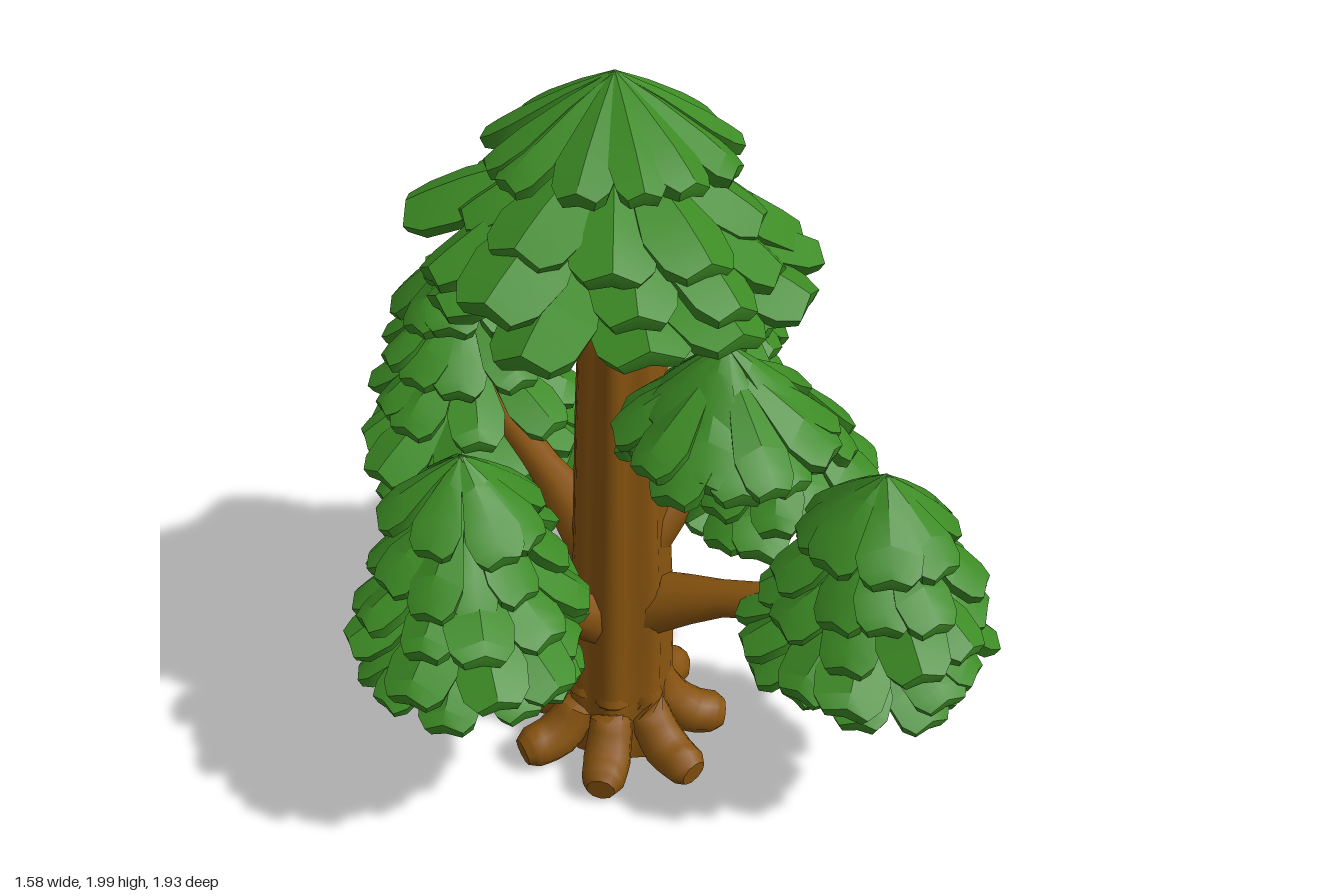
import * as THREE from 'three';
import { mergeGeometries, toCreasedNormals } from 'three/addons/utils/BufferGeometryUtils.js';

const needle = new THREE.MeshStandardMaterial({ color: 0x3c8a24 });
needle.name = 'needle green';
const bark = new THREE.MeshStandardMaterial({ color: 0x87530f });
bark.name = 'bark brown';

const V = (x, y, z) => new THREE.Vector3(x, y, z);

// Small seeded generator for natural variation
let seed = 7;
function rand(a, b) {
  seed = (seed * 16807) % 2147483647;
  return a + (b - a) * (seed / 2147483647);
}

// Closed skin over a list of equal-length rings, capped at both ends
function loft(rings, crease = 0.7) {
  const pos = [];
  const tri = (...p) => p.forEach((v) => pos.push(v.x, v.y, v.z));
  const k = rings[0].length;
  const middle = (r) => r.reduce((s, p) => s.add(p), V(0, 0, 0)).divideScalar(k);
  const last = rings[rings.length - 1];
  const start = middle(rings[0]), end = middle(last);
  for (let j = 0; j < k; j++) {
    const n = (j + 1) % k;
    for (let i = 0; i + 1 < rings.length; i++) {
      tri(rings[i][j], rings[i][n], rings[i + 1][j]);
      tri(rings[i][n], rings[i + 1][n], rings[i + 1][j]);
    }
    tri(start, rings[0][n], rings[0][j]);
    tri(end, last[j], last[n]);
  }
  const g = new THREE.BufferGeometry();
  g.setAttribute('position', new THREE.Float32BufferAttribute(pos, 3));
  return toCreasedNormals(g, crease);
}

// Round limb along a curve, with a radius given at each control point
function limb(points, radii, sides = 10) {
  const curve = new THREE.CatmullRomCurve3(points);
  const steps = (points.length - 1) * 3;
  const rings = [];
  for (let i = 0; i <= steps; i++) {
    const t = i / steps, f = t * (radii.length - 1), a = Math.min(Math.floor(f), radii.length - 2);
    const r = THREE.MathUtils.lerp(radii[a], radii[a + 1], f - a);
    const dir = curve.getTangent(t), c = curve.getPoint(t);
    const ref = Math.abs(dir.y) > 0.9 ? V(1, 0, 0) : V(0, 1, 0);
    const n = ref.sub(dir.clone().multiplyScalar(ref.dot(dir))).normalize();
    const b = dir.clone().cross(n);
    rings.push(Array.from({ length: sides }, (_, j) => {
      const q = (j / sides) * Math.PI * 2;
      return c.clone().addScaledVector(n, r * Math.cos(q)).addScaledVector(b, r * Math.sin(q));
    }));
  }
  return loft(rings, 0.9);
}

// One drooping, ridged leaf with a blunt tip, pointing along +x
function leaf(length, drop, width, thick) {
  const stations = [[0, 0.08], [0.35, 0.5], [0.72, 1], [0.9, 0.9], [1, 0.6]];
  return loft(stations.map(([u, f]) => {
    const w = width * f, x = u * length;
    const y = -drop * (0.8 * u + 0.2 * u * u);
    const ridge = w * 0.28, t = thick * (u === 1 ? 0.7 : 1);
    return [V(x, y + ridge * 0.4, 0), V(x, y - ridge, w), V(x - 0.01, y - ridge - t, w * 0.8),
      V(x - 0.01, y - ridge * 0.4 - t, 0), V(x - 0.01, y - ridge - t, -w * 0.8), V(x, y - ridge, -w)];
  }), 0.6);
}

// A skirt of leaves hanging from a point
function tier(radius, drop, count, wobble = 0.16) {
  const turn = rand(0, 6.28);
  const leaves = [];
  for (let i = 0; i < count; i++) {
    const len = radius * rand(1 - wobble, 1);
    const g = leaf(len, drop * rand(0.82, 1), radius * 0.78 * Math.tan(Math.PI / count) * rand(0.9, 1.15), 0.035);
    g.rotateX(rand(-0.15, 0.15));
    g.rotateY(turn + ((i + rand(-0.15, 0.15)) / count) * Math.PI * 2);
    leaves.push(g);
  }
  return mergeGeometries(leaves);
}

function add(parent, name, geometry, material, x = 0, y = 0, z = 0) {
  const m = new THREE.Mesh(geometry, material);
  m.name = name;
  m.position.set(x, y, z);
  parent.add(m);
  return m;
}

// Side bough: stump, connecting branch and stacked leaf skirts
function bough(root, name, { x, z, top, low, r, rows, stump, from, to }) {
  const g = new THREE.Group();
  g.name = name;
  root.add(g);
  const high = top - 0.15;
  add(g, 'stump', new THREE.CylinderGeometry(0.045, 0.06, high - stump, 12), bark, x, (high + stump) / 2, z);
  const s = 0.05 / Math.hypot(x, z);
  add(g, 'branch', limb(
    [V(0.02 + x * s, from - 0.06, z * s), V(x * 0.45, from * 0.6 + to * 0.4, z * 0.45), V(x, to, z)],
    [0.1, 0.05, 0.045]), bark);
  for (let i = 0; i < rows; i++) {
    const f = rows > 1 ? i / (rows - 1) : 0;
    const size = f < 0.7 ? 0.62 + 0.38 * (f / 0.7) : 1 - 0.14 * ((f - 0.7) / 0.3);
    const drop = i === 0 ? 0.18 : 0.2;
    const edge = THREE.MathUtils.lerp(top - 0.2, low + 0.05, f);
    const y = i === 0 ? top : edge + drop;
    const m = add(g, 'leafTier', tier(r * size, drop, i === 0 ? 8 : 10), needle, x, y, z);
    m.rotation.set(rand(-0.06, 0.06), 0, rand(-0.06, 0.06));
  }
}

export function createModel() {
  const root = new THREE.Group();
  root.name = 'tree';

  // Fluted trunk
  const profile = [[0.01, 0.14], [0.1, 0.155], [0.2, 0.14], [0.45, 0.14], [0.75, 0.125], [1.1, 0.115], [1.45, 0.1], [1.75, 0.06]];
  add(root, 'trunk', loft(profile.map(([y, r]) =>
    Array.from({ length: 42 }, (_, j) => {
      const a = (j / 42) * Math.PI * 2;
      const q = r * (1 + 0.07 * Math.cos(7 * a));
      return V(0.02 + q * Math.sin(a), y, 0.01 + q * Math.cos(a));
    })), 0.9), bark);

  // Spreading roots
  for (let i = 0; i < 7; i++) {
    const a = (i / 7) * Math.PI * 2, s = Math.sin(a), c = Math.cos(a);
    const reach = [0.31, 0.3, 0.31, 0.29, 0.29, 0.31, 0.3][i];
    const p = (d, y) => V(0.02 + s * d, y, 0.01 + c * d);
    add(root, 'root', limb([p(0.09, 0.32), p(0.125, 0.16), p(0.2, 0.075), p(reach - 0.03, 0.06), p(reach, 0.055)],
      [0.03, 0.06, 0.067, 0.06, 0.04]), bark);
  }

  // Crown skirts from the tip down
  const crown = new THREE.Group();
  crown.name = 'crown';
  root.add(crown);
  [[1.99, 0.31, 0.2, 12], [1.86, 0.4, 0.2, 10], [1.83, 0.49, 0.25, 11], [1.69, 0.52, 0.2, 11]].forEach(([y, r, drop, n], i) => {
    const m = add(crown, 'crownTier', tier(r, drop, n, i ? 0.15 : 0.06), needle, 0.01, y, 0);
    if (i) m.rotation.set(rand(-0.06, 0.06), 0, rand(-0.06, 0.06));
  });

  // Side boughs
  bough(root, 'rightBough', { x: -0.47, z: 0, top: 1.17, low: 0.49, r: 0.34, rows: 5, stump: 0.42, from: 0.52, to: 0.66 });
  bough(root, 'frontBough', { x: 0.3, z: 0.65, top: 1.1, low: 0.46, r: 0.355, rows: 5, stump: 0.38, from: 0.54, to: 0.68 });
  bough(root, 'lowLeftBough', { x: 0.45, z: -0.32, top: 0.94, low: 0.45, r: 0.35, rows: 4, stump: 0.38, from: 0.5, to: 0.64 });
  bough(root, 'midLeftBough', { x: 0.42, z: 0.2, top: 1.13, low: 0.68, r: 0.34, rows: 3, stump: 0.72, from: 0.75, to: 0.9 });
  bough(root, 'highLeftBough', { x: 0.42, z: -0.2, top: 1.43, low: 0.97, r: 0.36, rows: 4, stump: 0.94, from: 0.9, to: 1.15 });
  bough(root, 'backBough', { x: 0.02, z: -0.63, top: 1.33, low: 0.56, r: 0.37, rows: 5, stump: 0.48, from: 0.68, to: 0.92 });
  bough(root, 'highFrontBough', { x: -0.01, z: 0.4, top: 1.47, low: 1.15, r: 0.31, rows: 3, stump: 1.19, from: 1.14, to: 1.23 });

  return root;
}
